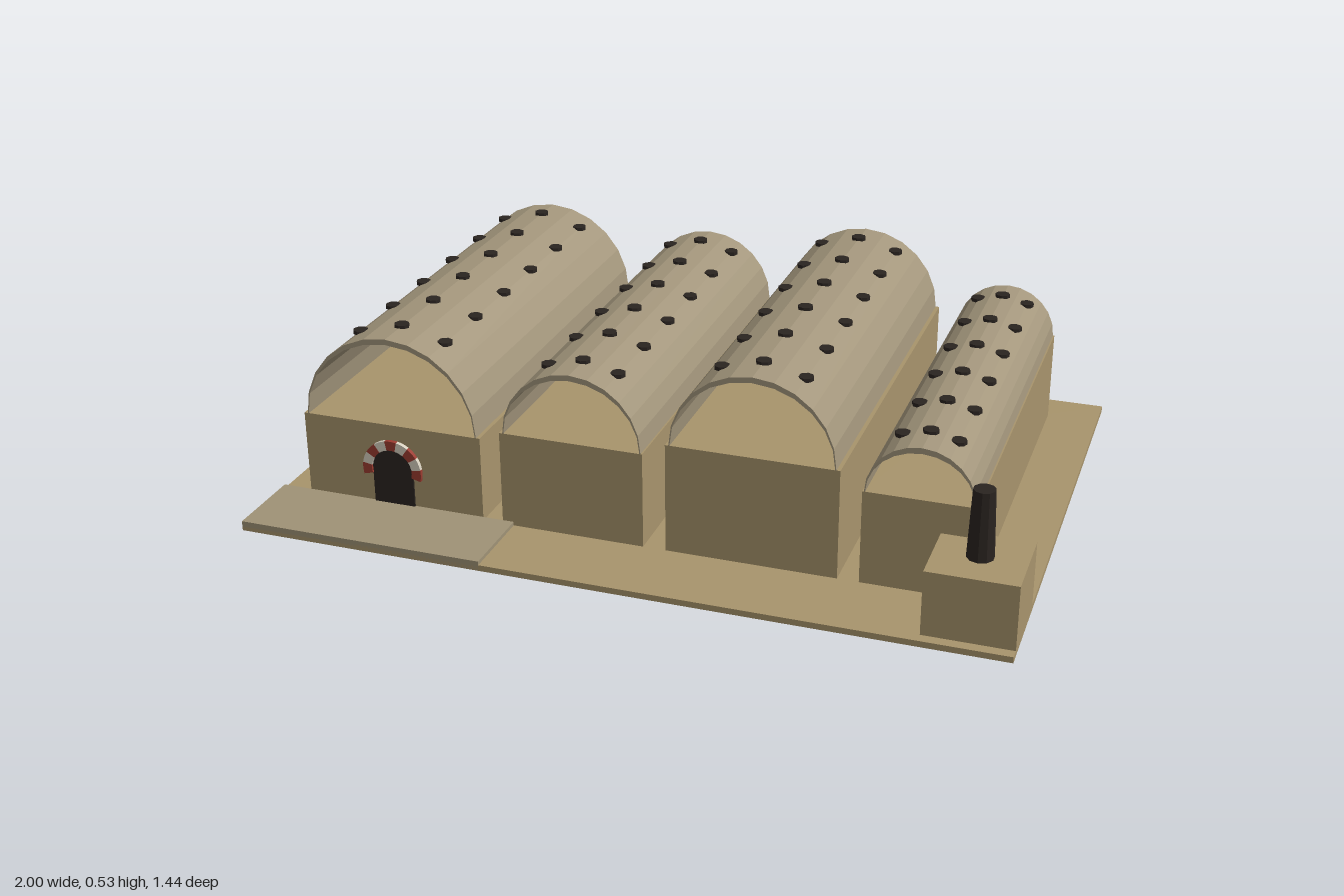
import * as THREE from 'three';

const mat = (color, flatShading = false) => new THREE.MeshStandardMaterial({ color, flatShading });
const stone = mat(0xa8946c);
const roof = mat(0xa3967c, true);
const paving = mat(0x9f9276);
const dark = mat(0x2a2420, true);
const red = mat(0x9c3b30);
const white = mat(0xd8d0c0);

const BACK = -0.61, FRONT = 0.5;

function add(parent, name, geometry, material, x = 0, y = 0, z = 0) {
  const mesh = new THREE.Mesh(geometry, material);
  mesh.name = name;
  mesh.position.set(x, y, z);
  parent.add(mesh);
  return mesh;
}

// Box given by its lower and upper corners
function block(parent, name, material, [x0, y0, z0], [x1, y1, z1]) {
  return add(parent, name, new THREE.BoxGeometry(x1 - x0, y1 - y0, z1 - z0), material,
    (x0 + x1) / 2, (y0 + y1) / 2, (z0 + z1) / 2);
}

// Open-ended barrel vault: thick at the crown, thin at the springing
function vaultGeometry(r, thickness, length) {
  const n = 12, outer = [], inner = [];
  for (let i = 0; i <= n; i++) {
    const a = (Math.PI * i) / n;
    const x = Math.cos(a), y = Math.sin(a);
    outer.push(new THREE.Vector2(x * r, y * r));
    inner.unshift(new THREE.Vector2(x * (r - 0.003), y * (r - thickness)));
  }
  return new THREE.ExtrudeGeometry(new THREE.Shape([...outer, ...inner]),
    { depth: length, bevelEnabled: false });
}

// A long hall with its vault and three rows of skylights
function hall({ name, x0, x1, wall, cx, r }) {
  const g = new THREE.Group();
  g.name = name;
  block(g, 'walls', stone, [x0, 0.01, BACK], [x1, wall, FRONT]);
  add(g, 'vault', vaultGeometry(r, 0.015, FRONT - BACK), roof, cx, wall, BACK);
  const disc = new THREE.CylinderGeometry(0.02, 0.02, 0.01, 8);
  for (const angle of [60, 90, 120]) {
    const a = THREE.MathUtils.degToRad(angle);
    for (let i = 0; i < 6; i++) {
      add(g, 'skylight', disc, dark,
        cx + r * Math.cos(a), wall + r * Math.sin(a) + 0.002, 0.403 - 0.185 * i);
    }
  }
  return g;
}

// Arched doorway framed by alternating wedge stones
function doorway(cx, floor, springY, z) {
  const g = new THREE.Group();
  g.name = 'doorway';
  const ri = 0.057, ro = 0.083, count = 9;
  const opening = new THREE.Shape();
  opening.moveTo(-ri, floor);
  opening.lineTo(ri, floor);
  opening.lineTo(ri, springY);
  opening.absarc(0, springY, ri, 0, Math.PI, false);
  opening.closePath();
  add(g, 'doorOpening', new THREE.ExtrudeGeometry(opening,
    { depth: 0.008, bevelEnabled: false, curveSegments: 10 }), dark, cx, 0, z - 0.003);
  const start = -0.25, step = (Math.PI - 2 * start) / count;
  for (let i = 0; i < count; i++) {
    const a0 = start + i * step, a1 = a0 + step;
    const wedge = new THREE.Shape();
    wedge.absarc(0, 0, ro, a0, a1, false);
    wedge.absarc(0, 0, ri, a1, a0, true);
    wedge.closePath();
    add(g, 'archStone', new THREE.ExtrudeGeometry(wedge,
      { depth: 0.014, bevelEnabled: false, curveSegments: 2 }),
      i % 2 ? white : red, cx, springY, z - 0.003);
  }
  return g;
}

export function createModel() {
  const model = new THREE.Group();
  model.name = 'vaultedBathhouse';

  // Ground slab and raised forecourt
  block(model, 'groundSlab', stone, [-1, 0, -0.72], [1, 0.016, 0.72]);
  block(model, 'forecourt', paving, [-1, 0.002, FRONT], [-0.335, 0.026, 0.72]);

  // Four parallel halls
  const halls = [
    { name: 'entranceHall', x0: -0.92, x1: -0.42, wall: 0.25, cx: -0.67, r: 0.24 },
    { name: 'secondHall', x0: -0.365, x1: 0.02, wall: 0.275, cx: -0.17, r: 0.186 },
    { name: 'tallHall', x0: 0.08, x1: 0.525, wall: 0.31, cx: 0.302, r: 0.213 },
    { name: 'narrowHall', x0: 0.58, x1: 0.86, wall: 0.265, cx: 0.72, r: 0.136 },
  ];
  halls.forEach((h) => model.add(hall(h)));

  model.add(doorway(-0.67, 0.026, 0.125, FRONT));

  // Furnace block and chimney
  block(model, 'furnace', stone, [0.775, 0.004, 0.472], [1, 0.185, 0.692]);
  add(model, 'chimney', new THREE.CylinderGeometry(0.027, 0.034, 0.18, 10), dark, 0.886, 0.272, 0.582);

  return model;
}
